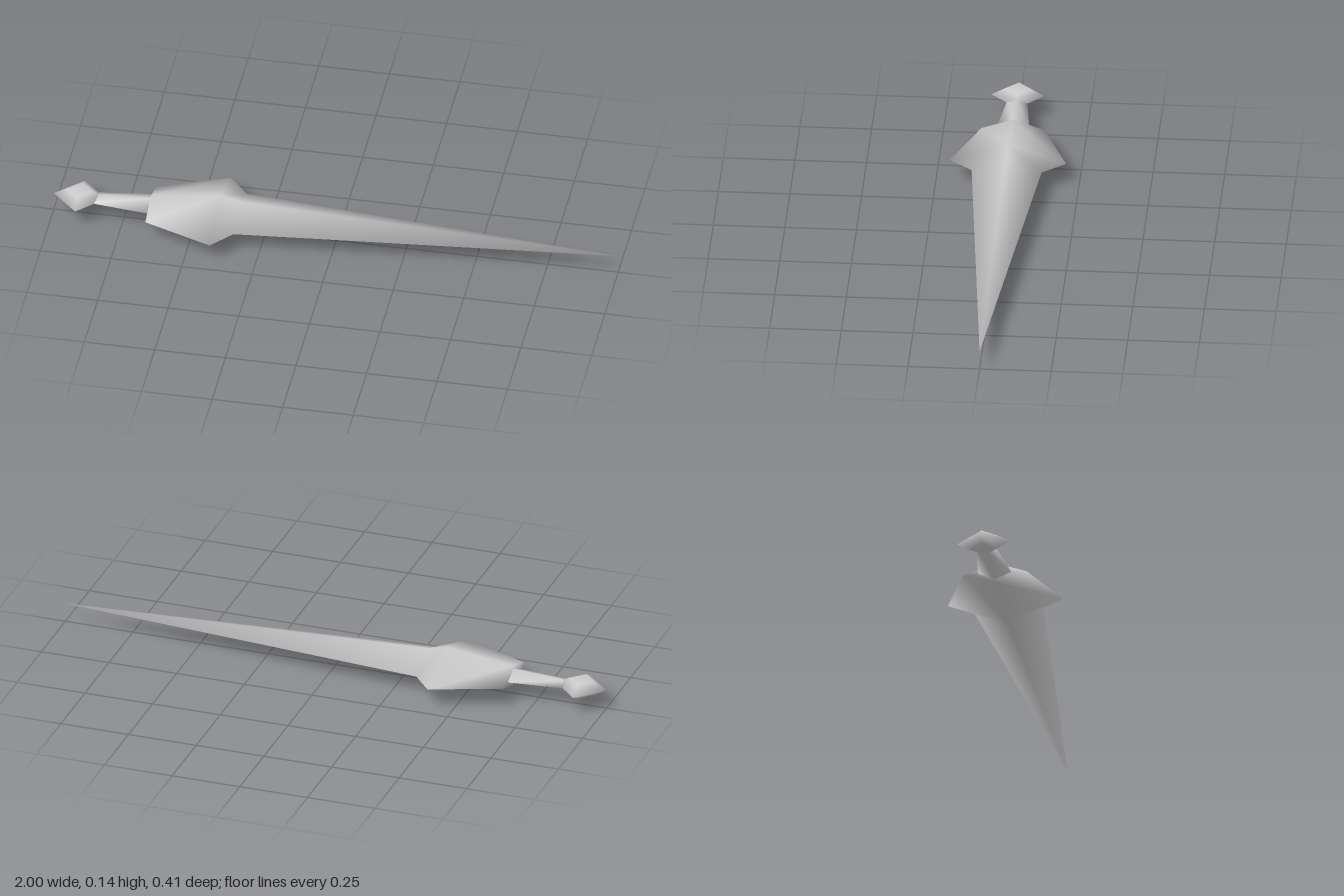
import * as THREE from 'three';

const CENTRE_Y = 0.069;

// Smooth loft of four-cornered rings along x; each section is [x, halfHeight, halfWidth].
// The start is closed flat; an optional tip closes the far end in one shared point.
function diamondLoft(sections, tipX) {
  const pos = [], index = [0, 1, 2, 0, 2, 3];
  for (const [x, h, w] of sections) {
    pos.push(x, 0, w, x, h, 0, x, 0, -w, x, -h, 0);
  }
  const last = (sections.length - 1) * 4;
  for (let i = 0; i < last; i += 4) {
    for (let k = 0; k < 4; k++) {
      const a = i + k, b = i + (k + 1) % 4;
      index.push(a, a + 4, b + 4, a, b + 4, b);
    }
  }
  if (tipX !== undefined) {
    pos.push(tipX, 0, 0);
    for (let k = 0; k < 4; k++) index.push(last + k, last + 4, last + (k + 1) % 4);
  }
  const g = new THREE.BufferGeometry();
  g.setAttribute('position', new THREE.Float32BufferAttribute(pos, 3));
  g.setIndex(index);
  g.computeVertexNormals();
  return g;
}

export function createModel() {
  const steel = new THREE.MeshStandardMaterial({ color: 0xcccccc });
  steel.name = 'steel';
  const model = new THREE.Group();
  model.name = 'dagger';

  const add = (name, geometry, x = 0) => {
    const mesh = new THREE.Mesh(geometry, steel);
    mesh.name = name;
    mesh.position.set(x, CENTRE_Y, 0);
    model.add(mesh);
  };

  // Flared guard running into the tapering blade
  add('guardAndBlade', diamondLoft([
    [-0.655, 0.037, 0.11],
    [-0.41, 0.069, 0.203],
    [-0.34, 0.052, 0.122],
  ], 1));

  // Grip, sunk into guard and pommel
  add('grip', diamondLoft([
    [-0.87, 0.013, 0.034],
    [-0.64, 0.026, 0.06],
  ]));

  // Pommel: four-sided flattened knob with flat top and bottom
  const profile = [[0, -0.025], [0.047, -0.025], [0.093, 0], [0.047, 0.025], [0, 0.025]];
  add('pommel', new THREE.LatheGeometry(profile.map(([r, y]) => new THREE.Vector2(r, y)), 4), -0.907);

  return model;
}
